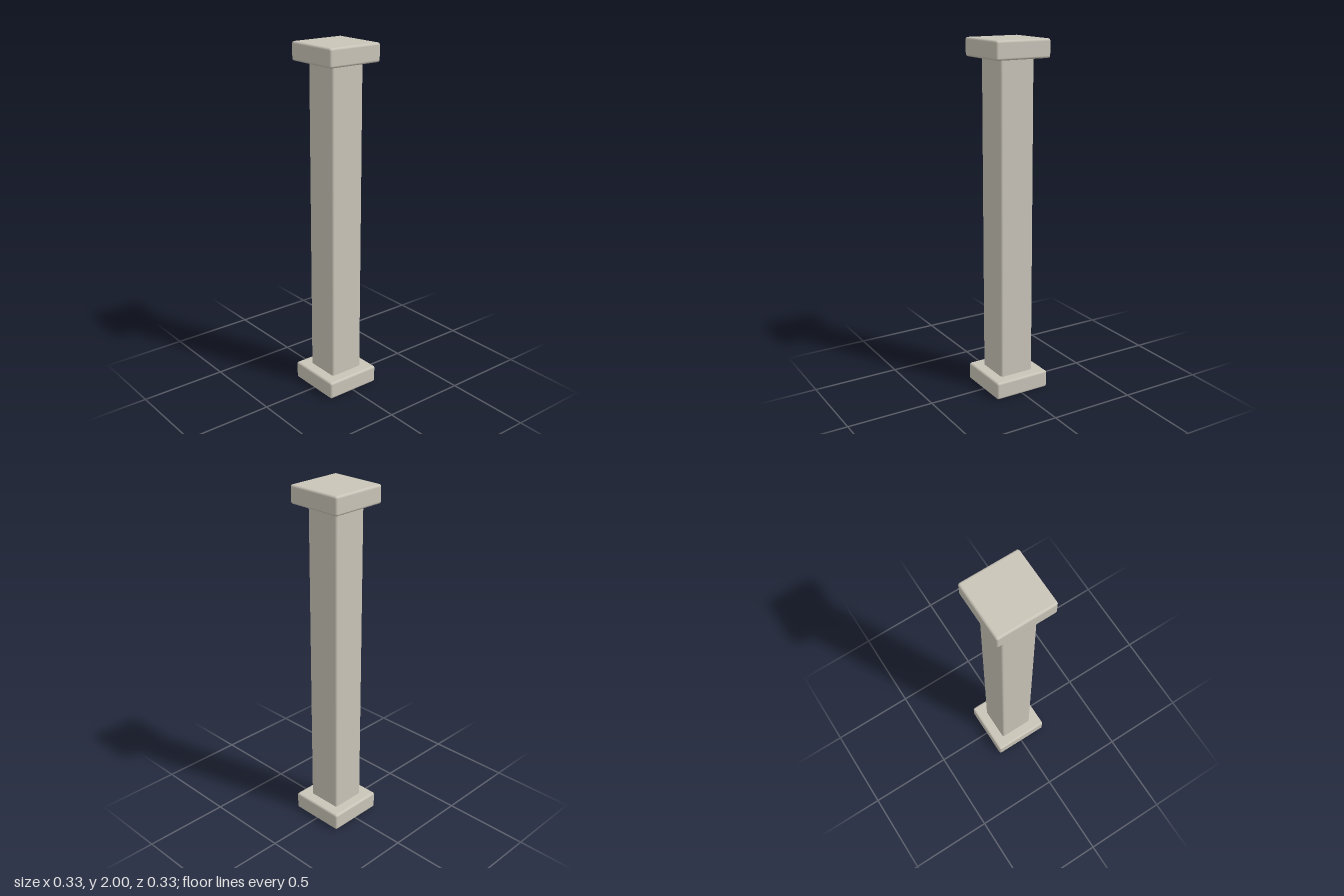
import * as THREE from 'three';
import { RoundedBoxGeometry } from 'three/addons/geometries/RoundedBoxGeometry.js';

export function createModel() {
  const group = new THREE.Group();
  group.name = 'pillar';
  const stone = new THREE.MeshStandardMaterial({ color: 0xc9c4b8 });
  stone.name = 'pale stone';

  // Square block with softly rounded edges, spanning bottom to top
  function block(name, width, bottom, top) {
    const geometry = new RoundedBoxGeometry(width, top - bottom, width, 4, 0.013);
    const mesh = new THREE.Mesh(geometry, stone);
    mesh.name = name;
    mesh.position.y = (bottom + top) / 2;
    group.add(mesh);
  }

  block('base', 0.333, 0, 0.102);
  block('shaft', 0.206, 0.08, 1.92); // ends sunk into the slabs
  block('capital', 0.333, 1.898, 2);
  return group;
}
